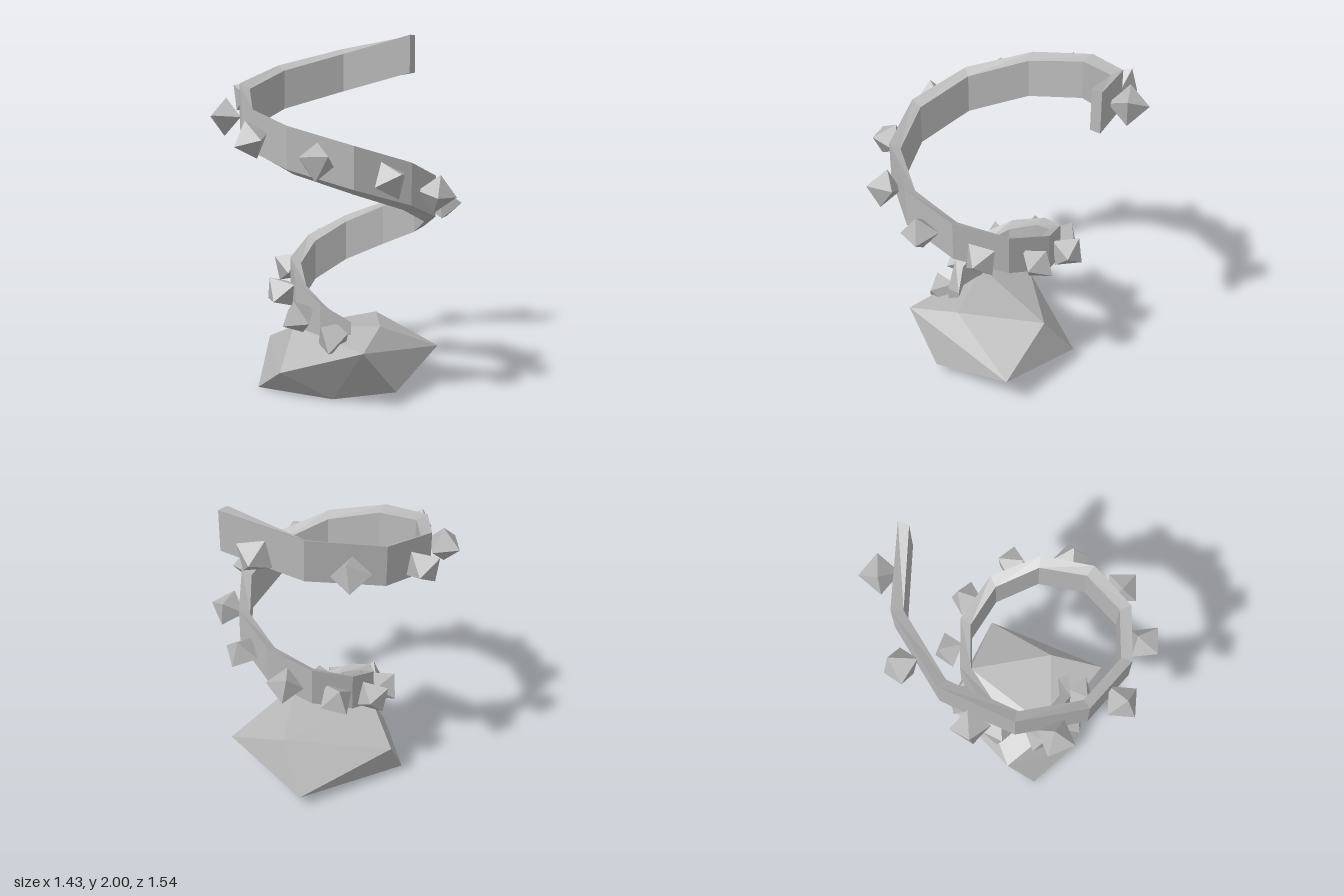
import * as THREE from 'three';
import { ConvexGeometry } from 'three/addons/geometries/ConvexGeometry.js';

const CENTRE = [0.069, 0.064];   // spiral axis in x, z
const STEPS = 16;
const START = THREE.MathUtils.degToRad(-83.3);
const TURN = THREE.MathUtils.degToRad(-36);

const stone = new THREE.MeshStandardMaterial({ color: 0xb8b8b8, flatShading: true });
stone.name = 'grey stone';

// Point at step t of the spiral, out from the axis by its radius plus offset
function spiral(t, y, offset = 0) {
  const r = 0.727 - 0.0296 * t + offset;
  const a = START + TURN * t;
  return new THREE.Vector3(CENTRE[0] + r * Math.cos(a), y, CENTRE[1] + r * Math.sin(a));
}
const topHeight = (t) => 2 - 0.0978 * t;

// Flat band winding down from the top, four corners per cross-section
function bandGeometry() {
  const rings = [];
  for (let i = 0; i <= STEPS; i++) {
    const y = topHeight(i);
    const tilt = i === 0 ? 0 : 0.015;
    rings.push([
      spiral(i, y + tilt),
      spiral(i, y - tilt, -0.062),
      spiral(i, y - 0.224 - tilt, -0.062),
      spiral(i, y - 0.224 + tilt),
    ]);
  }
  const points = [];
  const quad = (a, b, c, d) => points.push(a, b, c, a, c, d);
  for (let i = 0; i < STEPS; i++) {
    for (let k = 0; k < 4; k++) {
      const n = (k + 1) % 4;
      quad(rings[i][k], rings[i][n], rings[i + 1][n], rings[i + 1][k]);
    }
  }
  const [a, b, c, d] = rings[0];
  quad(d, c, b, a);
  quad(...rings[STEPS]);
  const geometry = new THREE.BufferGeometry().setFromPoints(points);
  geometry.computeVertexNormals();
  return geometry;
}

// Faceted boulder: hull of its corners
function rockGeometry() {
  const corners = [
    [-0.425, 0.26, 0.10], [-0.17, 0.155, 0.43], [0.35, 0.335, 0.46], [0.46, 0.21, -0.31],
    [0.43, 0.07, 0.21], [0.27, 0, -0.12], [-0.405, 0, 0.27], [0.08, 0, 0.28],
    [0.30, 0.405, 0.14], [-0.16, 0.39, 0.29], [-0.12, 0.09, -0.405], [0.065, 0.37, -0.31],
  ];
  return new ConvexGeometry(corners.map((p) => new THREE.Vector3(...p)));
}

function seeded(seed) {
  return () => {
    seed = (seed * 16807) % 2147483647;
    return seed / 2147483647;
  };
}

export function createModel() {
  const model = new THREE.Group();
  model.name = 'spiralWithCrystals';
  const add = (name, geometry) => {
    const mesh = new THREE.Mesh(geometry, stone);
    mesh.name = name;
    model.add(mesh);
    return mesh;
  };

  add('baseRock', rockGeometry());

  const band = add('spiralBand', bandGeometry());
  band.material = stone.clone();
  band.material.name = 'grey band';
  band.material.side = THREE.DoubleSide;

  // One crystal on the outside of each band segment, turned at random
  const random = seeded(77);
  const crystal = new THREE.OctahedronGeometry(0.105);
  for (let i = 0; i < STEPS; i++) {
    const t = i + 0.5;
    const mesh = add('crystal', crystal);
    mesh.position.copy(spiral(t, topHeight(t) - 0.112, 0.052));
    mesh.rotation.set(random() * Math.PI, random() * Math.PI, random() * Math.PI);
  }
  return model;
}
